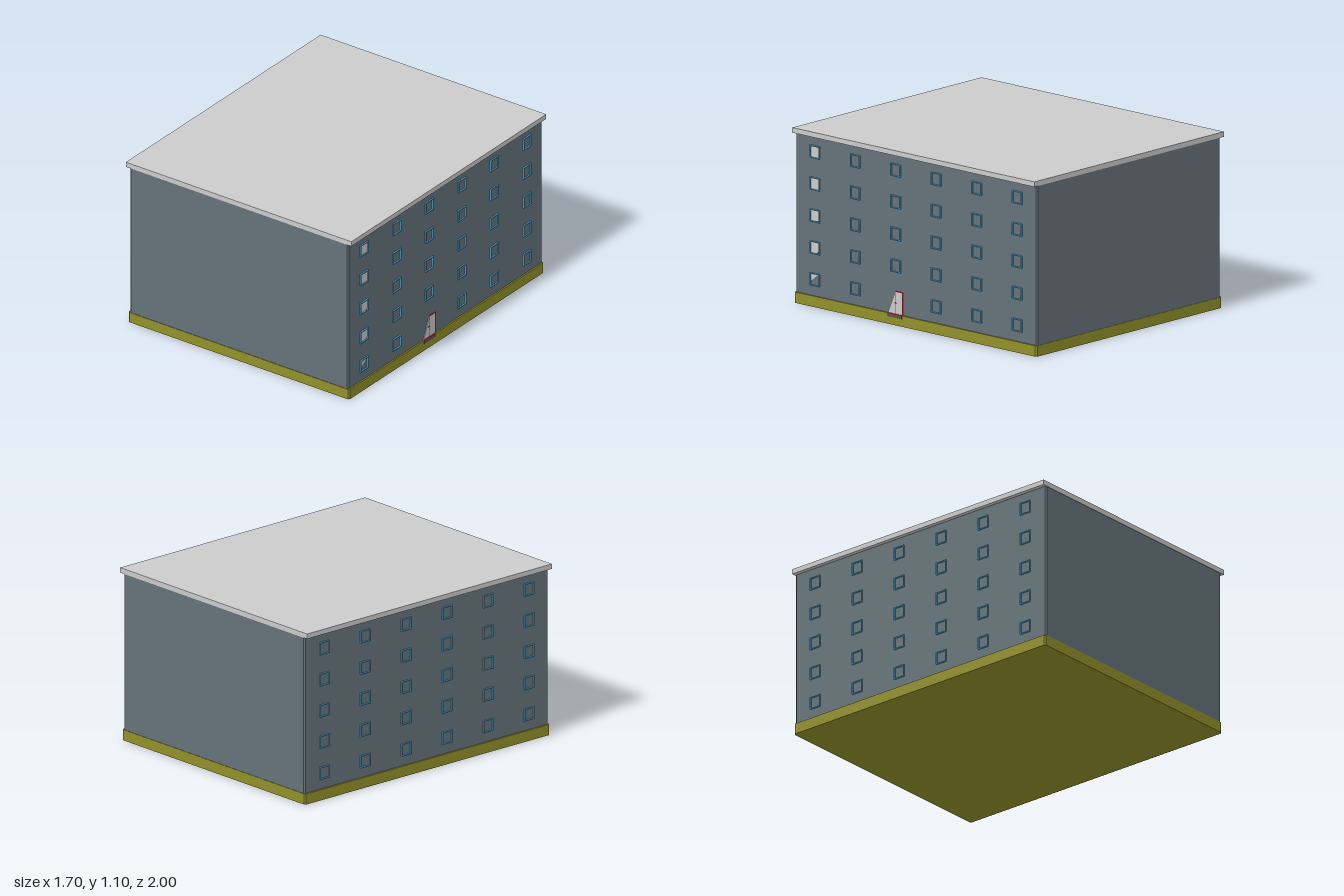
import * as THREE from 'three';

const material = (color) => new THREE.MeshStandardMaterial({ color, flatShading: true });
const wallMat = material(0x66737a);
const baseMat = material(0x92902a);
const greyMat = material(0xcccccc);
const blueMat = material(0x52b4e4);
const redMat = material(0xd02828);
const stepMat = material(0x55555a);

function addMesh(parent, name, geometry, mat, x = 0, y = 0, z = 0) {
  const mesh = new THREE.Mesh(geometry, mat);
  mesh.name = name;
  mesh.position.set(x, y, z);
  parent.add(mesh);
  return mesh;
}

// Upright block whose four vertical corners are cut off by c
function chamferedBlock(w, d, h, c) {
  const a = w / 2, b = d / 2;
  const outline = [[a - c, -b], [a, c - b], [a, b - c], [a - c, b], [c - a, b], [-a, b - c], [-a, c - b], [c - a, -b]];
  const shape = new THREE.Shape(outline.map(([x, y]) => new THREE.Vector2(x, y)));
  return new THREE.ExtrudeGeometry(shape, { depth: h, bevelEnabled: false }).rotateX(-Math.PI / 2);
}

// Flat plate in the plane of a side wall, thickness pointing to +x; corners are [z, y]
function sidePlate(corners, thickness) {
  const shape = new THREE.Shape(corners.map(([z, y]) => new THREE.Vector2(-z, y)));
  return new THREE.ExtrudeGeometry(shape, { depth: thickness, bevelEnabled: false }).rotateY(Math.PI / 2);
}

// Square frame with an open middle, lying on a side wall
function frameGeometry(size, bar, depth) {
  const square = (r) => [[-r, -r], [r, -r], [r, r], [-r, r]].map(([x, y]) => new THREE.Vector2(x, y));
  const shape = new THREE.Shape(square(size / 2));
  shape.holes.push(new THREE.Path(square(size / 2 - bar).reverse()));
  return new THREE.ExtrudeGeometry(shape, { depth, bevelEnabled: false })
    .translate(0, 0, -depth / 2).rotateY(Math.PI / 2);
}

export function createModel() {
  const building = new THREE.Group();
  building.name = 'apartmentBlock';
  const wallX = 0.823;

  addMesh(building, 'plinth', chamferedBlock(1.666, 2, 0.068, 0.009), baseMat);
  addMesh(building, 'walls', chamferedBlock(wallX * 2, 1.994, 1.004, 0.009), wallMat, 0, 0.066);
  addMesh(building, 'roofSlab', new THREE.BoxGeometry(1.7, 0.032, 2), greyMat, 0, 1.084, 0);

  // Windows on both long sides; the door takes one place on the left side
  const windows = new THREE.Group();
  windows.name = 'windows';
  building.add(windows);
  const frame = frameGeometry(0.08, 0.006, 0.018);
  for (const side of [1, -1]) {
    for (let row = 0; row < 5; row++) {
      for (let col = 0; col < 6; col++) {
        if (side === 1 && row === 0 && col === 2) continue;
        addMesh(windows, 'windowFrame', frame, blueMat, side * wallX, 0.17 + row * 0.2, 0.835 - col * 0.334);
      }
    }
  }

  // Pale panes in the end column, each partly hidden by the wall
  const r = 0.035;
  const panes = [
    [[r, r], [r, -0.012], [-r, r]],
    [[r, r], [r, -r], [0, -r], [-r, -0.02], [-r, r]],
    [[r, r], [r, -r], [-r, -0.027], [-r, r]],
    [[r, r], [r, -r], [-r, -r], [-r, r]],
    [[r, r], [r, -r], [-r, -r], [-r, 0.028], [0, r]],
  ];
  panes.forEach((corners, row) => {
    addMesh(windows, 'windowPane', sidePlate(corners, 0.002), greyMat, wallX, 0.17 + row * 0.2, 0.835);
  });

  // Entrance: slanted leaf, red trim and a low step
  const entrance = new THREE.Group();
  entrance.name = 'entrance';
  entrance.position.set(wallX, 0, 0.17);
  building.add(entrance);
  addMesh(entrance, 'doorLeaf', sidePlate([[0.058, 0.064], [-0.058, 0.064], [-0.058, 0.21], [-0.005, 0.21]], 0.004), greyMat);
  addMesh(entrance, 'doorSeam', new THREE.BoxGeometry(0.003, 0.14, 0.003), redMat, 0.004, 0.136, 0);
  addMesh(entrance, 'doorHandle', new THREE.BoxGeometry(0.004, 0.004, 0.018), redMat, 0.005, 0.138, 0);
  addMesh(entrance, 'doorSideTrim', new THREE.BoxGeometry(0.008, 0.146, 0.004), redMat, 0.003, 0.137, -0.06);
  addMesh(entrance, 'doorTopTrim', new THREE.BoxGeometry(0.008, 0.004, 0.057), redMat, 0.003, 0.21, -0.0335);
  addMesh(entrance, 'doorSill', new THREE.BoxGeometry(0.014, 0.007, 0.12), redMat, 0.005, 0.066, 0);
  addMesh(entrance, 'doorStep', new THREE.BoxGeometry(0.024, 0.016, 0.12), stepMat, 0, 0.055, 0);

  return building;
}
